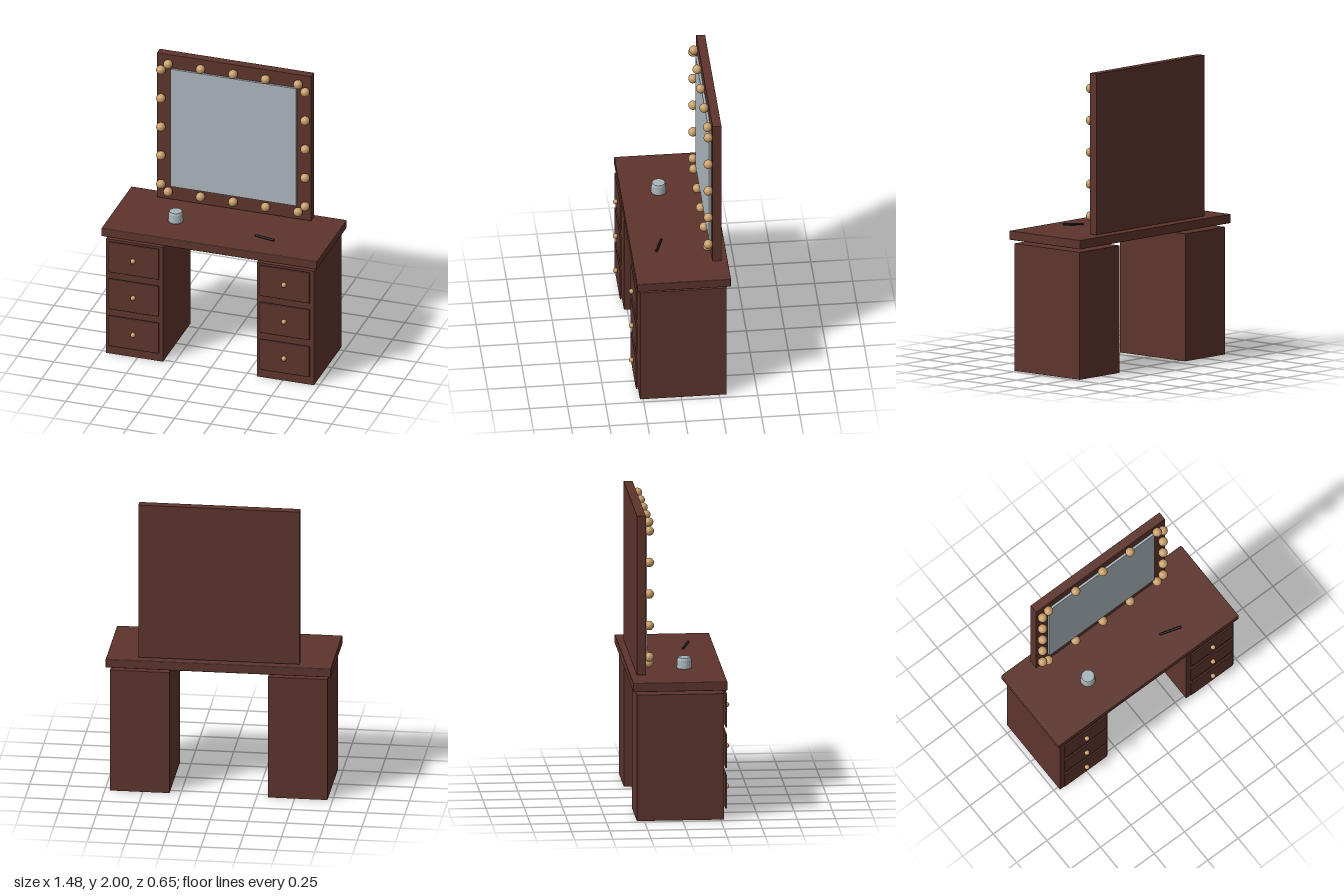
import * as THREE from 'three';
import { RoundedBoxGeometry } from 'three/addons/geometries/RoundedBoxGeometry.js';

export function createModel() {
  const group = new THREE.Group();
  const material = (name, color) => {
    const m = new THREE.MeshStandardMaterial({ color });
    m.name = name;
    return m;
  };
  const wood = material('dark wood', 0x5d342c);
  const brass = material('warm brass', 0xc99f6b);
  const glass = material('pale glass', 0xa9b6bc);
  const black = material('black', 0x1c1a1a);

  const add = (name, geometry, mat, x, y, z) => {
    const mesh = new THREE.Mesh(geometry, mat);
    mesh.name = name;
    mesh.position.set(x, y, z);
    group.add(mesh);
    return mesh;
  };

  // Desk top
  add('tableTop', new RoundedBoxGeometry(1.484, 0.06, 0.618, 2, 0.005), wood, 0, 0.898, -0.016);

  // Two pedestals, each with three drawers
  const drawerGeometry = new RoundedBoxGeometry(0.346, 0.224, 0.012, 2, 0.004);
  const knobGeometry = new THREE.SphereGeometry(0.017, 16, 12);
  for (const side of [-1, 1]) {
    const label = side > 0 ? 'left' : 'right';
    const x = side * 0.52;
    add(label + 'Pedestal', new THREE.BoxGeometry(0.392, 0.843, 0.57), wood, x, 0.4215, -0.014);
    for (const y of [0.178, 0.451, 0.723]) {
      add(label + 'DrawerFront', drawerGeometry, wood, x, y, 0.289);
      add(label + 'DrawerKnob', knobGeometry, brass, x, y + 0.002, 0.306);
    }
  }

  // Mirror frame and glass
  add('mirrorFrame', new THREE.BoxGeometry(1.062, 1.065, 0.058), wood, 0, 1.4675, -0.254);
  add('mirrorGlass', new THREE.BoxGeometry(0.864, 0.866, 0.016), glass, 0, 1.469, -0.218);

  // Bulbs around the frame
  const bulbGeometry = new THREE.SphereGeometry(0.031, 16, 12);
  for (let i = -2; i <= 2; i++) {
    for (const side of [-1, 1]) {
      add('bulb', bulbGeometry, brass, i * 0.224, 1.47 + side * 0.471, -0.2);
      add('bulb', bulbGeometry, brass, side * 0.497, 1.47 + i * 0.211, -0.2);
    }
  }

  // Small jar with a sloping shoulder
  const jarProfile = [[0, 0], [0.047, 0], [0.05, 0.005], [0.047, 0.058], [0.042, 0.073], [0, 0.073]]
    .map(([r, y]) => new THREE.Vector2(r, y));
  const jar = new THREE.LatheGeometry(jarProfile, 20).toNonIndexed();
  jar.computeVertexNormals();
  add('jar', jar, glass, -0.312, 0.93, 0.045);

  // Brush lying on the desk
  const start = new THREE.Vector3(0.25, 0.936, 0.083);
  const end = new THREE.Vector3(0.393, 0.947, 0.13);
  const direction = end.clone().sub(start);
  const brush = add('brush', new THREE.CylinderGeometry(0.009, 0.007, direction.length(), 12), black, 0, 0, 0);
  brush.position.copy(start).add(end).multiplyScalar(0.5);
  brush.quaternion.setFromUnitVectors(new THREE.Vector3(0, 1, 0), direction.normalize());

  return group;
}
